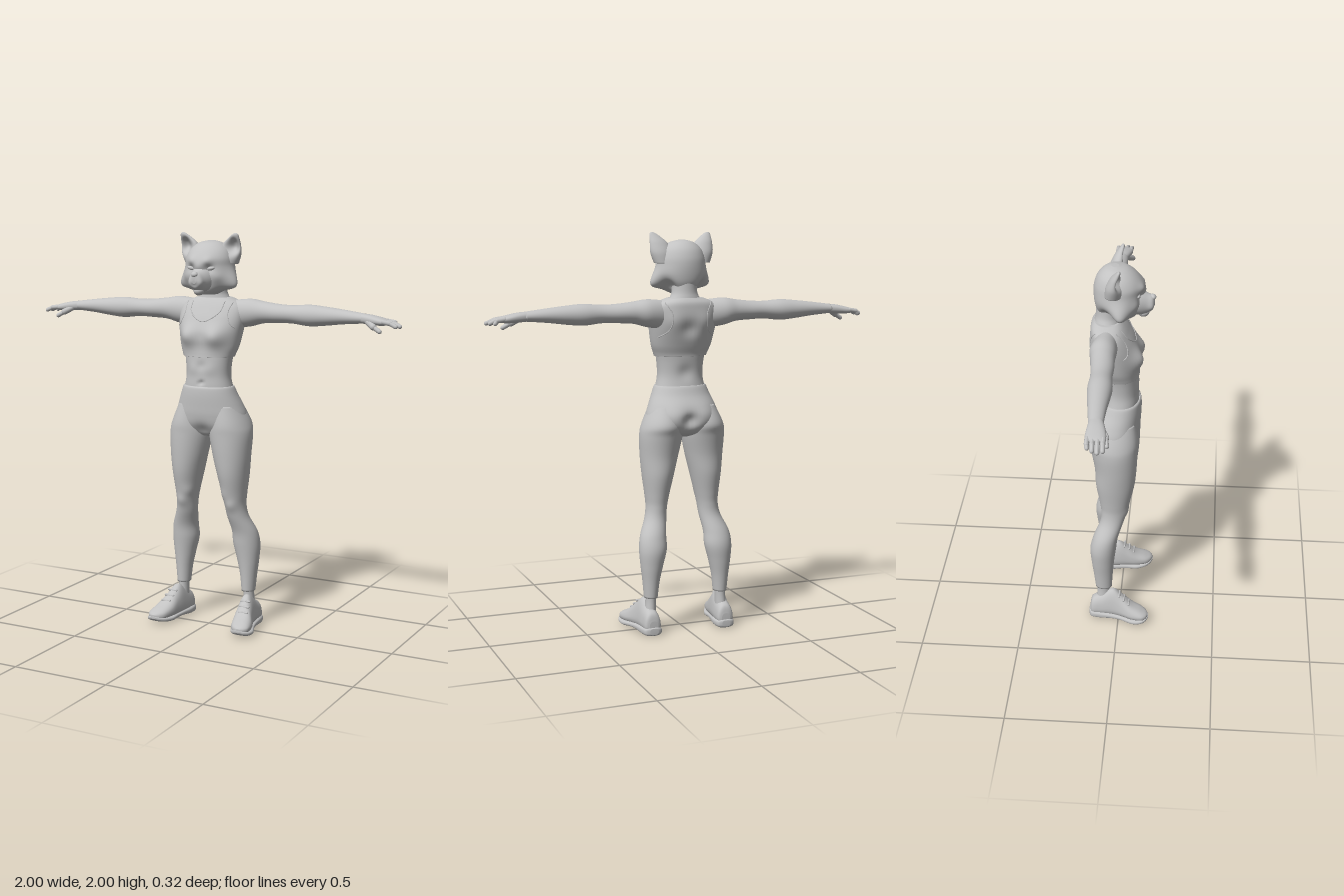
import * as THREE from 'three';

const AXES = { // maps (t along, w across, d deep) to x, y, z
  x: (t, w, d) => [t, d, w],
  y: (t, w, d) => [w, t, d],
  z: (t, w, d) => [w, d, t],
};

// Smooth loft through oval sections, each row [t, centre, halfWidth, high, low]
function loft(axis, rows, { power = 1, seg = 40, sub = 7 } = {}) {
  const rings = [];
  for (let i = 0; i < rows.length - 1; i++) {
    const [a, b, c, d] = [-1, 0, 1, 2].map(k => rows[Math.min(rows.length - 1, Math.max(0, i + k))]);
    const steps = i === rows.length - 2 ? sub : sub - 1;
    for (let s = 0; s <= steps; s++) {
      const u = s / sub;
      rings.push(b.map((_, k) => 0.5 * (2 * b[k] + (c[k] - a[k]) * u
        + (2 * a[k] - 5 * b[k] + 4 * c[k] - d[k]) * u * u + (3 * b[k] - a[k] - 3 * c[k] + d[k]) * u ** 3)));
    }
  }
  const pos = [], idx = [], map = AXES[axis];
  const rightHanded = (axis === 'z') === (rows[rows.length - 1][0] > rows[0][0]);
  const tri = (a, b, c) => (rightHanded ? idx.push(a, b, c) : idx.push(a, c, b));
  const soft = v => Math.sign(v) * Math.abs(v) ** power;
  rings.forEach(([t, c, r, hi, lo], i) => {
    for (let j = 0; j < seg; j++) {
      const th = j / seg * Math.PI * 2;
      pos.push(...map(t, c + r * soft(Math.cos(th)), (hi + lo) / 2 + (hi - lo) / 2 * soft(Math.sin(th))));
      if (i < rings.length - 1) {
        const k = (j + 1) % seg, p = i * seg, q = p + seg;
        tri(p + j, p + k, q + k);
        tri(p + j, q + k, q + j);
      }
    }
  });
  const last = (rings.length - 1) * seg, n = rings.length * seg;
  for (const [t, c, , hi, lo] of [rings[0], rings[rings.length - 1]]) pos.push(...map(t, c, (hi + lo) / 2));
  for (let j = 0; j < seg; j++) {
    const k = (j + 1) % seg;
    tri(n, k, j);
    tri(n + 1, last + j, last + k);
  }
  const g = new THREE.BufferGeometry();
  g.setAttribute('position', new THREE.Float32BufferAttribute(pos, 3));
  g.setIndex(idx);
  g.computeVertexNormals();
  return g;
}

// Soft swellings and hollows: [x, y, z, radius, pushX, pushY, pushZ], mirrored when x is not 0
function sculpt(g, bumps) {
  const p = g.attributes.position, src = p.clone();
  for (const [bx, by, bz, r, dx, dy, dz] of bumps) {
    for (const s of bx ? [1, -1] : [1]) {
      for (let i = 0; i < p.count; i++) {
        const d2 = (src.getX(i) - s * bx) ** 2 + (src.getY(i) - by) ** 2 + (src.getZ(i) - bz) ** 2;
        const f = Math.exp(-d2 / (r * r));
        p.setXYZ(i, p.getX(i) + s * dx * f, p.getY(i) + dy * f, p.getZ(i) + dz * f);
      }
    }
  }
  g.computeVertexNormals();
  return g;
}

function mirrored(g) {
  const m = g.clone().scale(-1, 1, 1), ix = m.index.array;
  for (let i = 0; i < ix.length; i += 3) [ix[i], ix[i + 1]] = [ix[i + 1], ix[i]];
  m.computeVertexNormals();
  return m;
}

// Rounded finger segment between two points
function capsule(a, b, r) {
  const A = new THREE.Vector3(...a), B = new THREE.Vector3(...b), dir = B.clone().sub(A);
  const g = new THREE.CapsuleGeometry(r, dir.length(), 5, 12);
  g.applyQuaternion(new THREE.Quaternion().setFromUnitVectors(new THREE.Vector3(0, 1, 0), dir.normalize()));
  return g.translate(...A.add(B).multiplyScalar(0.5).toArray());
}

export function createModel() {
  const group = new THREE.Group();
  const grey = new THREE.MeshStandardMaterial({ color: 0xc2c2c2 });
  grey.name = 'plain grey';
  const add = (name, g) => {
    const m = new THREE.Mesh(g, grey);
    m.name = name;
    group.add(m);
    return m;
  };
  const pair = (name, g) => { add(name + 'Left', g); add(name + 'Right', mirrored(g)); };

  // Torso: cropped top, neck, bare midriff, high-waisted leggings
  const top = add('croppedTop', sculpt(loft('y', [
    [1.393, 0, .134, .092, -.096], [1.41, 0, .14, .09, -.1], [1.45, 0, .154, .086, -.115], [1.52, 0, .167, .085, -.138],
    [1.58, 0, .175, .066, -.146], [1.63, 0, .172, .038, -.146], [1.66, 0, .145, .018, -.142], [1.682, 0, .09, .0, -.128],
  ], { power: .9, seg: 64, sub: 9 }), [
    [.075, 1.495, .09, .055, .004, 0, .034], [0, 1.5, .11, .025, 0, 0, -.006],
    [0, 1.53, -.14, .04, 0, 0, .014], [.085, 1.57, -.14, .045, 0, 0, -.008],
  ]));
  const neck = add('neck', loft('y', [
    [1.6, 0, .12, .03, -.135], [1.65, 0, .1, .01, -.135], [1.685, 0, .074, .0, -.126], [1.72, 0, .063, .0, -.12], [1.8, 0, .064, .02, -.118],
  ]));
  add('midriff', sculpt(loft('y', [
    [1.42, 0, .13, .082, -.092], [1.36, 0, .12, .086, -.086], [1.3, 0, .116, .087, -.083], [1.25, 0, .124, .09, -.088], [1.19, 0, .14, .09, -.1],
  ], { power: .92, seg: 56 }), [
    [0, 1.265, .09, .012, 0, 0, -.014], [0, 1.35, .09, .022, 0, 0, -.006], [0, 1.31, -.085, .04, 0, 0, .01],
    [.045, 1.33, .08, .03, 0, 0, .004],
  ]));
  add('leggingsHips', sculpt(loft('y', [
    [1.246, 0, .13, .094, -.094], [1.236, 0, .136, .1, -.1], [1.2, 0, .15, .102, -.115], [1.15, 0, .171, .1, -.142],
    [1.1, 0, .188, .096, -.155], [1.05, 0, .19, .085, -.15], [1.01, 0, .15, .06, -.12], [.99, 0, .07, .03, -.07],
  ], { power: .95, seg: 64 }), [
    [0, 1.08, -.16, .035, 0, 0, .025], [.085, 1.1, -.15, .06, 0, 0, -.012], [0, 1.02, .08, .04, 0, 0, -.015],
  ]));

  // Legs, ankles and shoes
  pair('leggingsLeg', sculpt(loft('y', [
    [1.15, .095, .07, .075, -.12], [1.06, .108, .099, .09, -.157], [1, .112, .108, .09, -.143], [.9, .12, .096, .086, -.124],
    [.8, .128, .079, .076, -.118], [.7, .134, .061, .053, -.1], [.64, .138, .053, .038, -.092], [.58, .147, .055, .022, -.097],
    [.5, .17, .066, -.004, -.13], [.43, .176, .07, -.014, -.147], [.35, .183, .057, -.024, -.141], [.27, .187, .043, -.031, -.13], [.185, .188, .034, -.036, -.12],
  ]), [[.14, .645, .03, .03, 0, 0, .008], [.11, .7, .03, .03, -.004, 0, .005]]));
  pair('ankle', loft('y', [[.22, .188, .028, -.045, -.113], [.16, .19, .026, -.048, -.112], [.08, .195, .03, -.04, -.12]]));
  const shoe = loft('z', [
    [-.148, .196, .022, .075, .03], [-.136, .197, .042, .115, .012], [-.09, .199, .047, .14, .012], [-.03, .205, .049, .175, .012],
    [.02, .215, .051, .14, .014], [.07, .228, .055, .098, .015], [.12, .238, .049, .073, .018], [.145, .242, .032, .06, .024], [.156, .243, .01, .05, .036],
  ], { power: .8 });
  const sp = shoe.attributes.position; // narrow the shoe towards the laces
  for (let i = 0; i < sp.count; i++) {
    const h = Math.max(0, sp.getY(i) - .05), x = sp.getX(i), c = .197;
    sp.setX(i, c + (x - c) * (1 - h * 3.2));
  }
  shoe.computeVertexNormals();
  pair('shoe', shoe);
  pair('shoeSole', loft('z', [
    [-.154, .196, .022, .04, .008], [-.14, .197, .045, .046, 0], [-.09, .199, .052, .045, 0], [-.03, .207, .05, .04, .006], [.02, .217, .052, .036, .006],
    [.075, .23, .062, .034, .003], [.12, .239, .054, .036, .008], [.147, .243, .035, .04, .018], [.159, .244, .012, .042, .03],
  ], { power: .7 }));
  for (let i = 0; i < 3; i++) {
    const z = .005 + i * .025, y = .149 - i * .022, c = .212 + i * .006;
    pair('shoeLace', capsule([c - .022, y, z], [c + .022, y, z], .006));
  }

  // Arms and hands held straight out
  pair('arm', loft('x', [
    [.11, -.062, .055, 1.67, 1.53], [.2, -.07, .064, 1.678, 1.542], [.27, -.067, .058, 1.668, 1.56], [.35, -.062, .055, 1.659, 1.565],
    [.43, -.06, .051, 1.656, 1.567], [.52, -.058, .057, 1.662, 1.558], [.6, -.057, .052, 1.656, 1.564], [.7, -.056, .042, 1.645, 1.576], [.81, -.052, .033, 1.631, 1.585],
  ]));
  pair('palm', loft('x', [
    [.79, -.052, .031, 1.632, 1.585], [.84, -.048, .04, 1.628, 1.581], [.89, -.046, .046, 1.618, 1.579], [.92, -.046, .043, 1.61, 1.582], [.933, -.046, .036, 1.604, 1.588],
  ], { power: .85 }));
  [[-.08, .955], [-.057, .975], [-.034, .988], [-.011, .975]].forEach(([z, end]) => {
    pair('fingerBase', capsule([.91, 1.599, z], [.945, 1.594, z], .0115));
    pair('fingerTip', capsule([.945, 1.594, z], [end, 1.58, z + .002], .0105));
  });
  pair('thumbBase', capsule([.825, 1.6, -.03], [.865, 1.575, -.005], .016));
  pair('thumbTip', capsule([.865, 1.575, -.005], [.9, 1.555, .002], .011));

  // Feline head: skull with cheek ruffs, muzzle, nose, ears
  add('head', sculpt(loft('y', [
    [1.962, 0, .02, -.01, -.045], [1.95, 0, .062, .035, -.078], [1.92, 0, .098, .075, -.108], [1.88, 0, .118, .103, -.125],
    [1.84, 0, .124, .104, -.13], [1.79, 0, .13, .098, -.127], [1.75, 0, .12, .088, -.118], [1.72, 0, .085, .078, -.1], [1.7, 0, .045, .06, -.06],
  ], { seg: 72, sub: 9 }), [
    [.125, 1.765, .005, .045, .03, -.02, .0], [.11, 1.72, -.07, .05, -.03, .015, .01],
    [.05, 1.828, .1, .02, 0, 0, -.014], [.045, 1.865, .1, .025, 0, 0, .01], [0, 1.84, .1, .03, 0, 0, .014],
    [.08, 1.79, .07, .03, .004, 0, .006],
  ]));
  add('muzzle', sculpt(loft('z', [
    [.05, 0, .07, 1.85, 1.72], [.09, 0, .056, 1.84, 1.712], [.125, 0, .041, 1.822, 1.722], [.148, 0, .03, 1.812, 1.738], [.159, 0, .012, 1.798, 1.758],
  ]), [[.02, 1.762, .14, .02, .007, 0, .004], [0, 1.755, .15, .012, 0, 0, -.006]]));
  add('nose', loft('z', [[.13, 0, .012, 1.815, 1.79], [.152, 0, .017, 1.816, 1.79], [.162, 0, .012, 1.811, 1.793], [.166, 0, .003, 1.804, 1.8]]));
  add('chin', new THREE.SphereGeometry(.026, 24, 16).scale(1, .9, 1.1).translate(0, 1.722, .106));
  pair('eyelid', new THREE.SphereGeometry(.02, 24, 14).scale(1.1, .5, .55).rotateZ(.2).translate(.053, 1.83, .084));
  pair('ear', sculpt(loft('y', [
    [1.85, .1, .045, .01, -.07], [1.9, .108, .055, .018, -.065], [1.945, .117, .047, .016, -.045], [1.975, .132, .03, .012, -.024],
    [1.993, .143, .016, .008, -.01], [2, .146, .005, .003, -.004],
  ], { seg: 48, sub: 9 }), [[.128, 1.93, .016, .033, 0, 0, -.045], [.134, 1.96, .012, .018, 0, 0, -.012]]));

  // Raised seams laid onto the top: neckline and armholes, front and back
  group.updateMatrixWorld(true);
  const ray = new THREE.Raycaster();
  const seam = (name, pts, side) => {
    const on = [];
    for (const v of new THREE.SplineCurve(pts.map(p => new THREE.Vector2(...p))).getPoints(30)) {
      ray.set(new THREE.Vector3(v.x, v.y, side), new THREE.Vector3(0, 0, -side));
      const hit = ray.intersectObjects([top, neck])[0];
      if (hit) on.push(hit.point);
    }
    if (on.length > 3) add(name, new THREE.TubeGeometry(new THREE.CatmullRomCurve3(on), 60, .0028, 8));
  };
  seam('neckline', [[-.088, 1.665], [-.075, 1.61], [0, 1.568], [.075, 1.61], [.088, 1.665]], 1);
  for (const s of [1, -1]) {
    seam('frontArmhole', [[s * .125, 1.66], [s * .118, 1.61], [s * .135, 1.56], [s * .155, 1.54]], 1);
    seam('backArmhole', [[s * .12, 1.66], [s * .09, 1.6], [s * .1, 1.53], [s * .145, 1.49]], -1);
  }
  return group;
}
